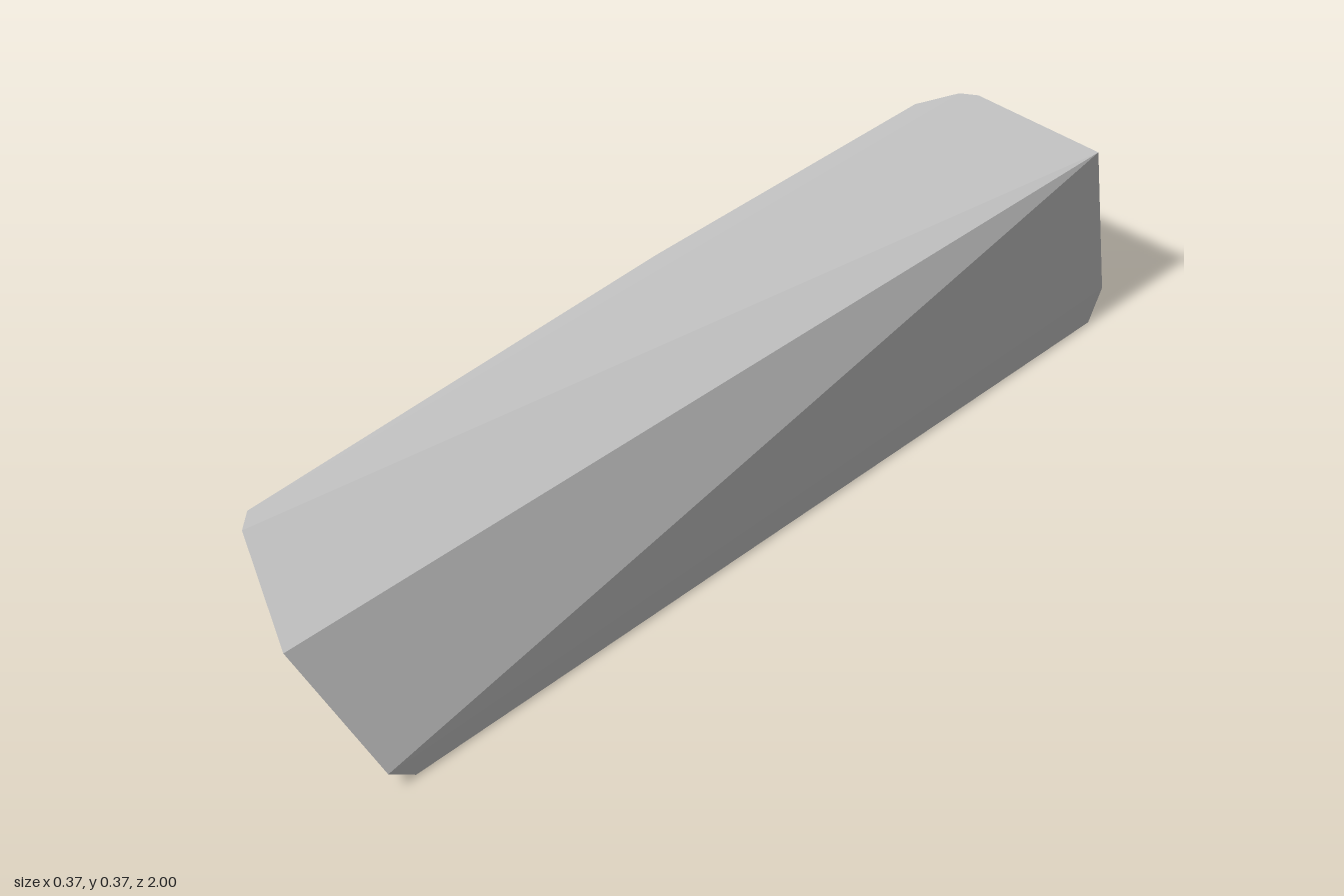
import * as THREE from 'three';
import { ConvexGeometry } from 'three/addons/geometries/ConvexGeometry.js';

export function createModel() {
  const group = new THREE.Group();
  group.name = 'stoneShard';
  const stone = new THREE.MeshStandardMaterial({ color: 0xc6c6c6 });
  stone.name = 'stone grey';

  // Sharp ridge, running from the front tip to the back corner
  const ridge = [[0.07, 0.277, 1], [0.158, 0.347, -0.99]];

  // Left rim of the top, with clipped corners
  const rim = [
    [-0.12, 0.366, 0.9], [-0.15, 0.369, 0.86], [-0.185, 0.37, -0.15],
    [-0.185, 0.37, -0.88], [-0.15, 0.369, -0.97], [-0.12, 0.367, -0.99],
  ];

  // Foot of the right side
  const foot = [
    [0.182, 0.04, 0.9], [0.182, 0.003, 0.84],
    [0.182, 0.003, -0.96], [0.181, 0.06, -1],
  ];

  // Facets of the rounded underside: x, y, back z, middle z, then the front x, y, z
  const keel = [
    [0.12, 0.016, -0.88, 0.3, 0.125, 0.02, 0.78],
    [-0.025, 0.125, -0.88, 0.1, 0.0, 0.125, 0.78],
    [-0.06, 0.165, -0.88, 0, -0.035, 0.17, 0.78],
    [-0.13, 0.265, -0.87, -0.1, -0.1, 0.27, 0.8],
  ].flatMap(([x, y, back, mid, fx, fy, fz]) => [[x, y, back], [x, y, mid], [fx, fy, fz]]);

  // Chamfer corners around the two end faces
  const ends = [
    [-0.06, 0.235, 0.855], [0.07, 0.095, 0.85], [0.155, 0.047, 0.885],
    [-0.04, 0.28, -0.99], [0.11, 0.125, -0.995],
  ];

  const points = [...ridge, ...rim, ...foot, ...keel, ...ends].map((p) => new THREE.Vector3(...p));
  const shard = new THREE.Mesh(new ConvexGeometry(points), stone);
  shard.name = 'shard';
  group.add(shard);
  return group;
}
